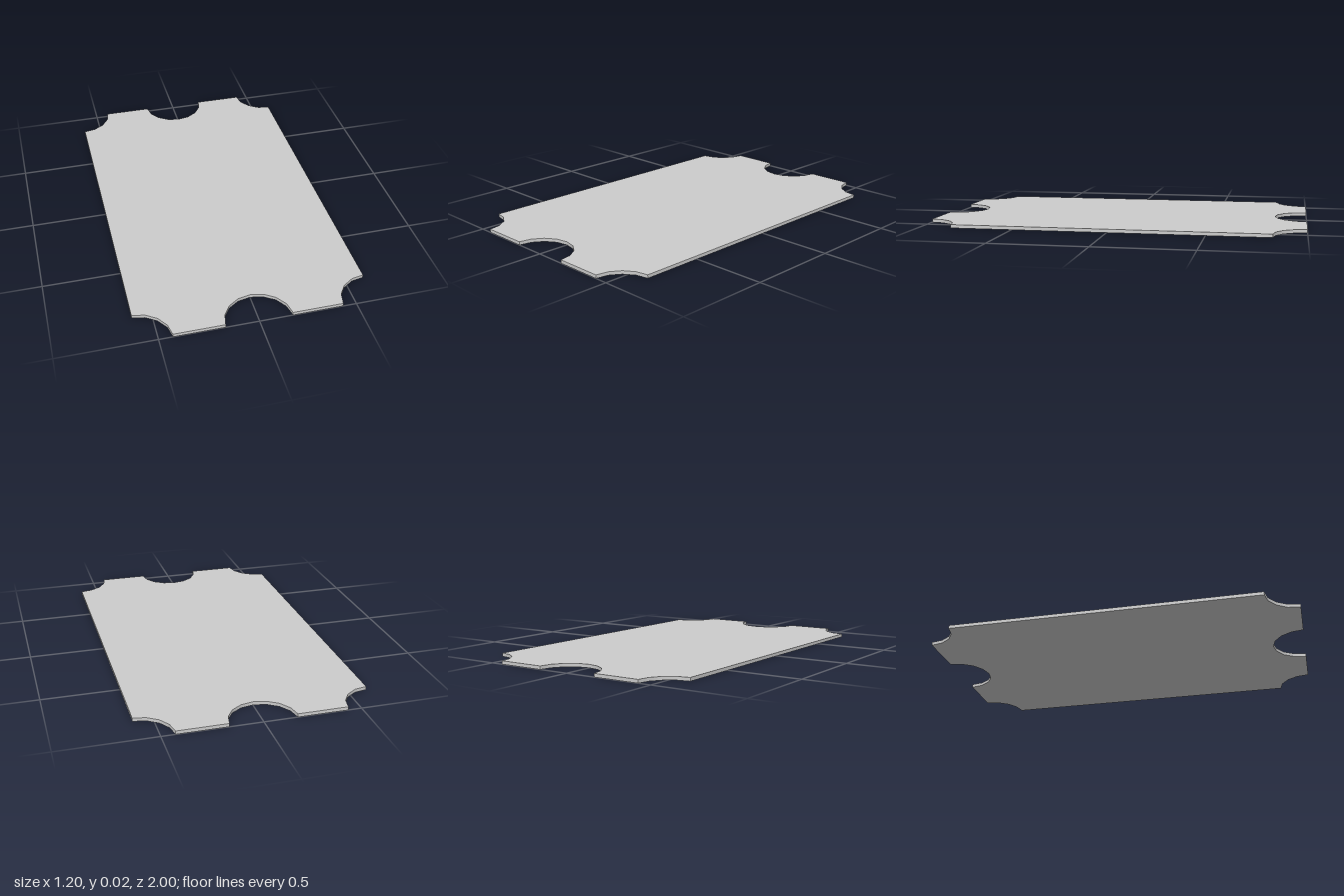
import * as THREE from 'three';
import { toCreasedNormals } from 'three/addons/utils/BufferGeometryUtils.js';

const HALF_WIDTH = 0.6, HALF_LENGTH = 1, NOTCH = 0.17, THICKNESS = 0.018;

// Points of a concave notch, swept clockwise in 22.5 degree steps
function notch(cx, cy, startAngle, steps) {
  return Array.from({ length: steps + 1 }, (_, i) => {
    const a = startAngle - i * Math.PI / 8;
    return new THREE.Vector2(cx + NOTCH * Math.cos(a), cy + NOTCH * Math.sin(a));
  });
}

export function createModel() {
  const group = new THREE.Group();
  group.name = 'notchedPlate';

  // One end of the outline: corner notch, middle notch, corner notch
  const end = [
    ...notch(-HALF_WIDTH, -HALF_LENGTH, Math.PI / 2, 4),
    ...notch(0, -HALF_LENGTH, Math.PI, 8),
    ...notch(HALF_WIDTH, -HALF_LENGTH, Math.PI, 4),
  ];
  // The other end is the same, turned half a circle
  const outline = [...end, ...end.map((p) => p.clone().negate())];

  // Flat plate with sharp rims and smooth notch walls
  const extruded = new THREE.ExtrudeGeometry(new THREE.Shape(outline), {
    depth: THICKNESS, bevelEnabled: false,
  });
  extruded.rotateX(-Math.PI / 2);
  const plate = new THREE.Mesh(
    toCreasedNormals(extruded, 0.6),
    new THREE.MeshStandardMaterial({ color: 0xcccccc }),
  );
  plate.name = 'plate';
  group.add(plate);
  return group;
}
